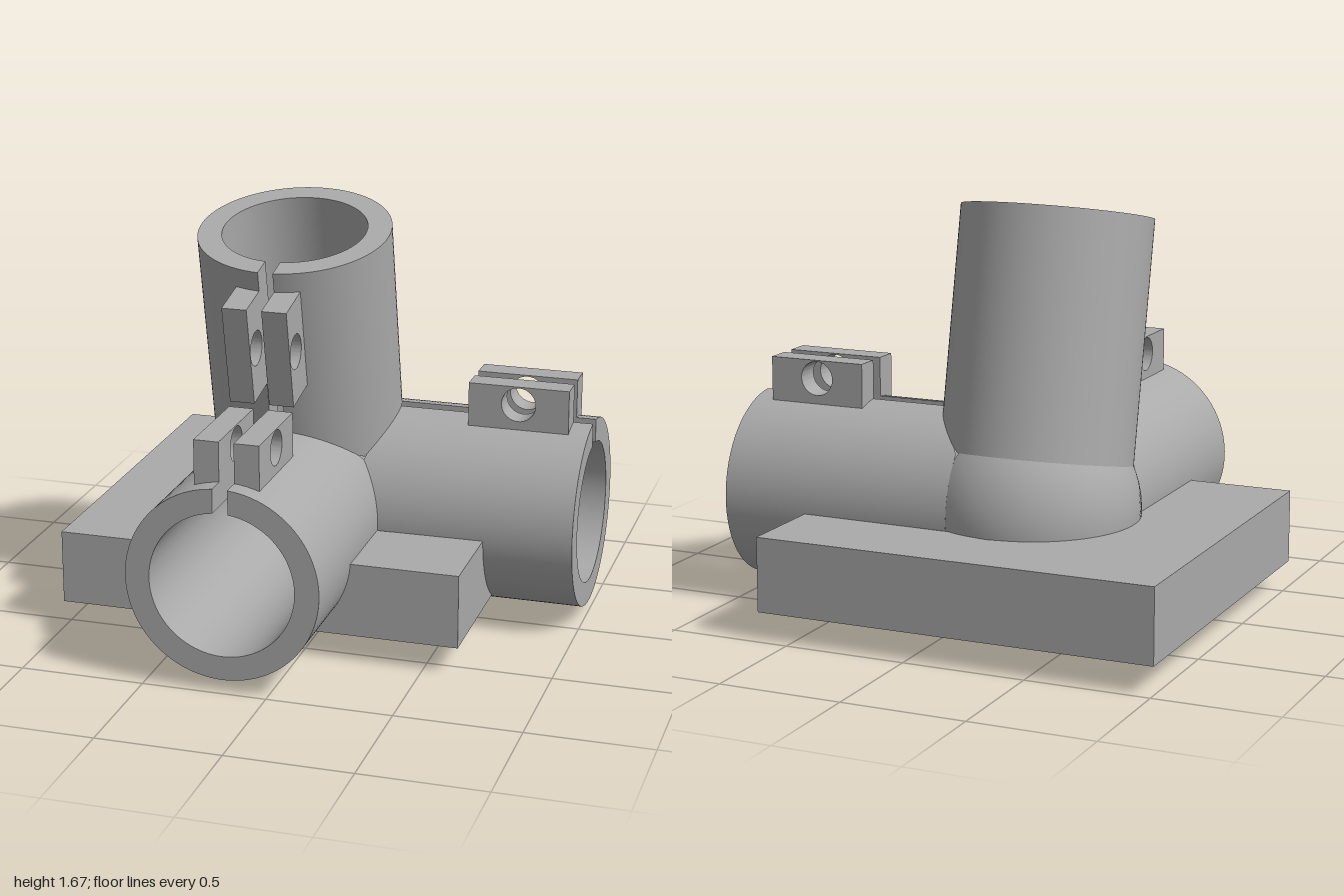
import * as THREE from 'three';
import { toCreasedNormals } from 'three/addons/utils/BufferGeometryUtils.js';

const V = (x, y, z) => new THREE.Vector3(x, y, z);
const HUB = V(-0.18, 0.435, -0.2);
const HUB_R = 0.435, OUTER = 0.387, BORE = 0.29, LENGTH = 1.18, BORE_START = -0.105, SLOT = 0.03;
const TILT = THREE.MathUtils.degToRad(12);

// Each socket: axis direction and the direction its slot faces
const SOCKETS = [
  { name: 'sideSocket', axis: V(1, 0, 0), up: V(0, 1, 0) },
  { name: 'frontSocket', axis: V(0, 0, 1), up: V(0, 1, 0) },
  { name: 'tiltedSocket', axis: V(0, Math.cos(TILT), Math.sin(TILT)), up: V(0, -Math.sin(TILT), Math.cos(TILT)) },
];
for (const s of SOCKETS) s.side = s.up.clone().cross(s.axis);

// Signed distances used to trim one surface against the others
const rod = (s, r, start) => (p) => {
  const d = p.clone().sub(HUB), along = d.dot(s.axis);
  return Math.max(Math.sqrt(Math.max(0, d.lengthSq() - along * along)) - r, start - along);
};
const union = (list) => (p) => Math.min(...list.map((f) => f(p)));
const ball = (p) => p.distanceTo(HUB) - HUB_R;
const outers = (skip) => SOCKETS.filter((s) => s !== skip).map((s) => rod(s, OUTER, 0));
const bores = (skip) => SOCKETS.filter((s) => s !== skip).map((s) => rod(s, BORE, BORE_START));

// First entry into and last exit from the trimming solid along a line, t in 0..1
function cutLine(line, dist, steps = 80) {
  let entry = -1, exit = -1, best = 0, bestD = Infinity;
  const values = [];
  for (let k = 0; k <= steps; k++) {
    const d = dist(line(k / steps));
    values.push(d);
    if (d < bestD) { bestD = d; best = k / steps; }
  }
  if (bestD >= 0) return [best, best];
  const refine = (inside, outside) => {
    for (let i = 0; i < 20; i++) {
      const m = (inside + outside) / 2;
      if (dist(line(m)) < 0) inside = m; else outside = m;
    }
    return inside;
  };
  const first = values.findIndex((d) => d < 0);
  const last = values.findLastIndex((d) => d < 0);
  entry = first === 0 ? 0 : refine(first / steps, (first - 1) / steps);
  exit = last === steps ? 1 : refine(last / steps, (last + 1) / steps);
  return [entry, exit];
}

// Sweeps a line over u in 0..1, leaves out what lies inside `dist`, faces along `hint`
function trimmedSurface(point, hint, dist, count, divs = 1) {
  const rows = [];
  for (let i = 0; i <= count; i++) {
    const line = (t) => point(i / count, t);
    const [entry, exit] = dist ? cutLine(line, dist) : [1, 1];
    const span = (a, b) => Array.from({ length: divs + 1 }, (_, k) => line(a + (b - a) * k / divs));
    rows.push([span(0, entry), span(exit, 1)]);
  }
  const pos = [];
  const tri = (a, b, c) => {
    const n = b.clone().sub(a).cross(c.clone().sub(a));
    if (n.length() < 1e-8) return;
    const mid = a.clone().add(b).add(c).divideScalar(3);
    for (const p of n.dot(hint(mid)) > 0 ? [a, b, c] : [a, c, b]) pos.push(p.x, p.y, p.z);
  };
  for (let i = 0; i < count; i++) {
    for (const part of [0, 1]) {
      const p = rows[i][part], q = rows[i + 1][part];
      for (let k = 0; k < divs; k++) {
        tri(p[k], q[k], q[k + 1]);
        tri(p[k], q[k + 1], p[k + 1]);
      }
    }
  }
  const geo = new THREE.BufferGeometry();
  geo.setAttribute('position', new THREE.Float32BufferAttribute(pos, 3));
  return toCreasedNormals(geo, 0.6);
}

export function createModel() {
  const grey = new THREE.MeshStandardMaterial({ color: 0xaaaaaa, side: THREE.DoubleSide });
  grey.name = 'plain grey';
  const model = new THREE.Group();
  model.name = 'tubeCornerBracket';
  const add = (parent, name, geo) => {
    const mesh = new THREE.Mesh(geo, grey);
    mesh.name = name;
    parent.add(mesh);
    return mesh;
  };

  // Hub ball, bulging between the backs of the sockets
  const pole = V(-1, -1, -1).normalize();
  const e1 = V(1, -1, 0).normalize(), e2 = pole.clone().cross(e1);
  add(model, 'hubBall', trimmedSurface((u, t) => {
    const az = u * Math.PI * 2, polar = t * 2.2;
    return HUB.clone().addScaledVector(pole, HUB_R * Math.cos(polar))
      .addScaledVector(e1, HUB_R * Math.sin(polar) * Math.cos(az))
      .addScaledVector(e2, HUB_R * Math.sin(polar) * Math.sin(az));
  }, (p) => p.clone().sub(HUB), union(outers()), 96, 24));

  for (const s of SOCKETS) {
    const group = new THREE.Group();
    group.name = s.name;
    model.add(group);
    const at = (along, up, side) => HUB.clone().addScaledVector(s.axis, along)
      .addScaledVector(s.up, up).addScaledVector(s.side, side);
    // Point on a circle that is left open at the slot
    const round = (r, u, along) => {
      const gap = Math.asin(SLOT / r), a = gap + u * (Math.PI * 2 - gap * 2);
      return at(along, r * Math.cos(a), r * Math.sin(a));
    };
    const radial = (p) => {
      const d = p.clone().sub(HUB);
      return d.addScaledVector(s.axis, -d.dot(s.axis));
    };
    const otherBores = union(bores(s));
    const boreAlong = (t) => BORE_START + t * (LENGTH - BORE_START);

    add(group, 'outerWall', trimmedSurface((u, t) => round(OUTER, u, t * LENGTH),
      radial, union([ball, ...outers(s)]), 96));
    add(group, 'bore', trimmedSurface((u, t) => round(BORE, u, boreAlong(t)),
      (p) => radial(p).negate(), otherBores, 96));
    add(group, 'boreFloor', trimmedSurface((u, t) => round(BORE, u, BORE_START).lerp(at(BORE_START, 0, 0), 1 - t),
      () => s.axis, otherBores, 96));
    add(group, 'rim', trimmedSurface((u, t) => round(BORE, u, LENGTH).lerp(round(OUTER, u, LENGTH), t),
      () => s.axis, null, 96));

    // Slot cheeks and the pair of drilled clamp lugs
    const inner = Math.sqrt(BORE ** 2 - SLOT ** 2), outer = Math.sqrt(OUTER ** 2 - SLOT ** 2);
    const lugShape = new THREE.Shape([[0.69, 0.365], [1.1, 0.365], [1.1, 0.545], [0.69, 0.545]]
      .map(([x, y]) => new THREE.Vector2(x, y)));
    lugShape.holes.push(new THREE.Path().absarc(0.895, 0.47, 0.07, 0, Math.PI * 2, true));
    const frame = new THREE.Matrix4().makeBasis(s.axis, s.up, s.axis.clone().cross(s.up)).setPosition(HUB);
    for (const sign of [-1, 1]) {
      add(group, 'slotCheek', trimmedSurface(
        (u, t) => at(t * LENGTH, inner + u * (outer - inner), sign * SLOT),
        () => s.side.clone().multiplyScalar(-sign), otherBores, 6));
      const lug = new THREE.ExtrudeGeometry(lugShape, { depth: 0.1, bevelEnabled: false, curveSegments: 32 });
      lug.translate(0, 0, sign > 0 ? SLOT : -SLOT - 0.1).applyMatrix4(frame);
      add(group, 'clampLug', toCreasedNormals(lug, 0.6));
    }
  }

  // Mounting plate, cut away where the hub and sockets pass through
  const lo = V(-1, 0.11, -0.97), hi = V(0.64, 0.41, 0.57);
  const body = union([ball, ...outers()]);
  const mix = THREE.MathUtils.lerp;
  const plate = new THREE.Group();
  plate.name = 'mountingPlate';
  model.add(plate);
  for (const [end, sign, label] of [[lo, -1, 'lower'], [hi, 1, 'upper']]) {
    add(plate, label === 'upper' ? 'plateTop' : 'plateBottom', trimmedSurface(
      (u, t) => V(mix(lo.x, hi.x, t), end.y, mix(lo.z, hi.z, u)), () => V(0, sign, 0), body, 200));
    add(plate, label === 'upper' ? 'plateFront' : 'plateBack', trimmedSurface(
      (u, t) => V(mix(lo.x, hi.x, t), mix(lo.y, hi.y, u), end.z), () => V(0, 0, sign), body, 24));
    add(plate, label === 'upper' ? 'plateLeft' : 'plateRight', trimmedSurface(
      (u, t) => V(end.x, mix(lo.y, hi.y, u), mix(lo.z, hi.z, t)), () => V(sign, 0, 0), body, 24));
  }
  return model;
}
